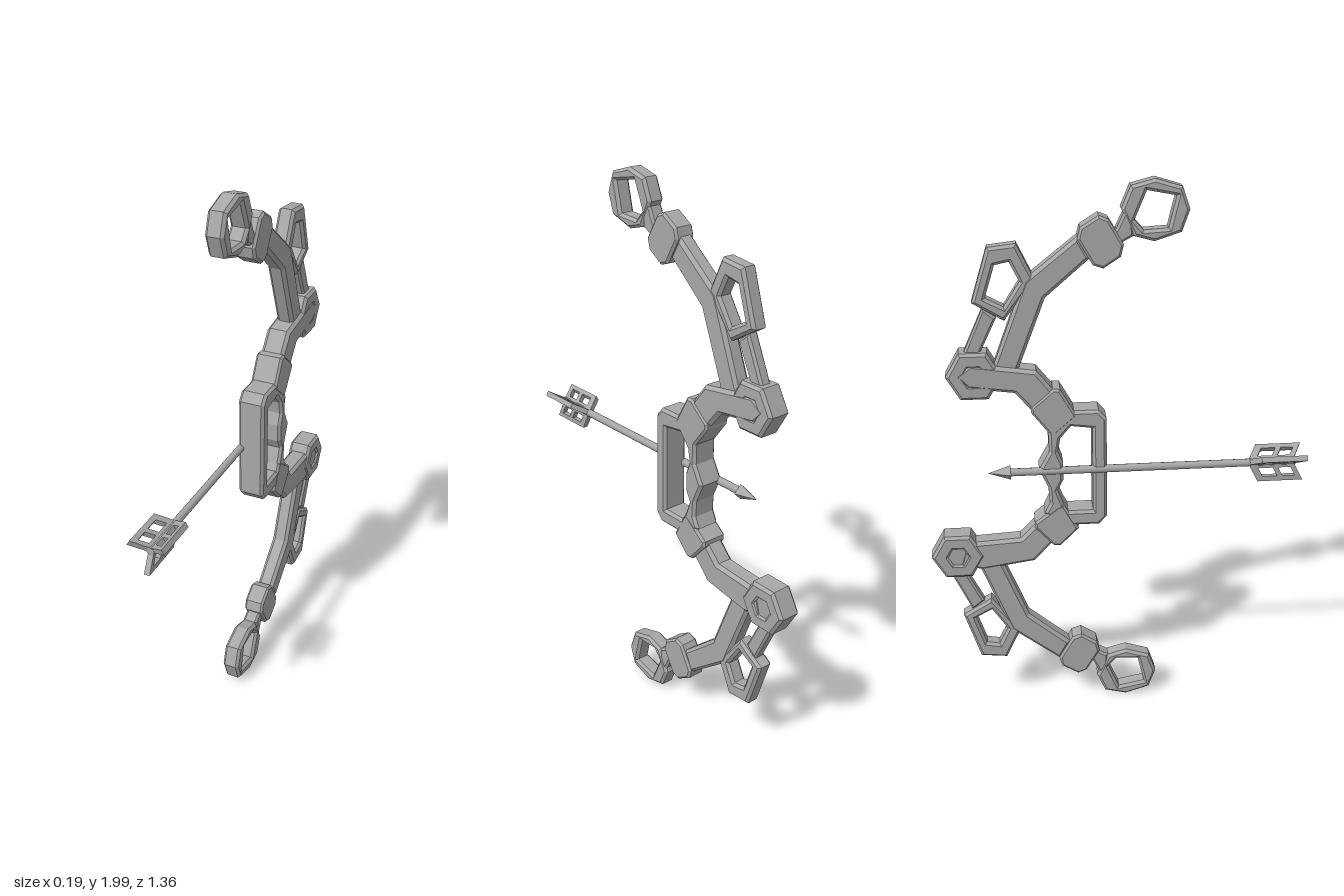
import * as THREE from 'three';

export function createModel() {
  const model = new THREE.Group();
  model.name = 'bowAndArrow';
  const grey = new THREE.MeshStandardMaterial({ color: 0xa8a8a8 });
  grey.name = 'grey metal';

  // Outlines run counter-clockwise and holes clockwise, so every wall faces outwards
  function toPath(pts, Type, clockwise) {
    const v = pts.map(([a, b]) => new THREE.Vector2(a, b));
    return new Type(THREE.ShapeUtils.isClockWise(v) === clockwise ? v : v.reverse());
  }

  // Chamfered plate in the (z, y) plane, centred on x = 0
  function plate(parent, name, pts, half, bevel = 0.012, holes = []) {
    const shape = toPath(pts, THREE.Shape, false);
    holes.forEach(h => shape.holes.push(toPath(h, THREE.Path, true)));
    const depth = 2 * (half - bevel);
    const geo = new THREE.ExtrudeGeometry(shape, {
      depth, bevelEnabled: bevel > 0, bevelThickness: bevel, bevelSize: bevel,
      bevelOffset: -bevel, bevelSegments: 1, curveSegments: 1,
    });
    geo.translate(0, 0, -depth / 2).rotateY(-Math.PI / 2);
    const mesh = new THREE.Mesh(geo, grey);
    mesh.name = name;
    parent.add(mesh);
    return mesh;
  }

  const hexagon = (z, y, r) => Array.from({ length: 6 }, (_, i) =>
    [z + r * Math.cos(i * Math.PI / 3), y + r * Math.sin(i * Math.PI / 3)]);

  const bow = new THREE.Group();
  bow.name = 'bow';
  model.add(bow);

  // Riser with knuckle guard
  plate(bow, 'grip',
    [[-0.035, 1.18], [-0.063, 1.212], [-0.17, 1.212], [-0.24, 1.15], [-0.238, 1.06], [-0.275, 0.993],
      [-0.243, 0.92], [-0.24, 0.86], [-0.26, 0.82], [-0.19, 0.768], [-0.063, 0.768], [-0.035, 0.8]],
    0.049, 0.01,
    [[[-0.085, 1.145], [-0.16, 1.155], [-0.198, 1.11], [-0.207, 1.06], [-0.19, 1.015],
      [-0.19, 0.95], [-0.211, 0.91], [-0.18, 0.825], [-0.085, 0.825]]]);

  // Collars and arms joining the grip to the hubs
  plate(bow, 'upperGripCollar',
    [[-0.195, 1.294], [-0.22, 1.296], [-0.298, 1.23], [-0.296, 1.21], [-0.235, 1.13],
      [-0.21, 1.13], [-0.138, 1.193]], 0.05, 0.008);
  plate(bow, 'lowerGripCollar',
    [[-0.19, 0.852], [-0.21, 0.85], [-0.296, 0.785], [-0.296, 0.765], [-0.23, 0.69],
      [-0.205, 0.688], [-0.138, 0.755]], 0.05, 0.008);
  plate(bow, 'upperArm',
    [[-0.2, 1.267], [-0.275, 1.362], [-0.497, 1.394], [-0.555, 1.352], [-0.508, 1.304],
      [-0.35, 1.283], [-0.275, 1.193], [-0.2, 1.18]], 0.044);
  plate(bow, 'lowerArm',
    [[-0.296, 0.77], [-0.349, 0.717], [-0.55, 0.706], [-0.577, 0.611], [-0.487, 0.595],
      [-0.3, 0.622], [-0.2, 0.733]], 0.038);

  // One limb, measured from its hub; s mirrors it up or down
  function limb(name, z, y, s) {
    const g = new THREE.Group();
    g.name = name;
    bow.add(g);
    const at = pts => pts.map(([a, b]) => [z + a, y + s * b]);
    plate(g, 'hub', hexagon(z, y, 0.096), 0.043, 0.01, [hexagon(z, y, 0.034)]);
    plate(g, 'hubCore', hexagon(z, y, 0.045), 0.036, 0);
    plate(g, 'limbBar', at([[0.36, 0.47], [0.18, 0.328], [0.058, 0.005], [0.148, 0.005],
      [0.249, 0.265], [0.402, 0.397]]), 0.032);
    plate(g, 'strut', at([[0.085, 0.2], [0.04, 0.235], [-0.03, 0.08], [0.012, 0.05]]), 0.022, 0.008);
    plate(g, 'sideLoop', at([[0.217, 0.328], [0.159, 0.45], [0.063, 0.439], [0.005, 0.254], [0.111, 0.19]]),
      0.03, 0.01,
      [at([[0.166, 0.323], [0.134, 0.39], [0.086, 0.38], [0.051, 0.27], [0.111, 0.238]])]);
    plate(g, 'tipCollar', at([[0.462, 0.525], [0.429, 0.538], [0.368, 0.5], [0.358, 0.462],
      [0.409, 0.374], [0.444, 0.362], [0.502, 0.4], [0.512, 0.44]]), 0.038, 0.008);
    plate(g, 'tipLink', at([[0.535, 0.58], [0.508, 0.535], [0.487, 0.49], [0.45, 0.47],
      [0.46, 0.42], [0.545, 0.466]]), 0.028, 0.008);
    plate(g, 'tipRing', at([[0.73, 0.55], [0.704, 0.624], [0.614, 0.651], [0.534, 0.63],
      [0.503, 0.556], [0.545, 0.466], [0.614, 0.447], [0.704, 0.476]]), 0.032, 0.01,
      [at([[0.685, 0.595], [0.587, 0.614], [0.547, 0.519], [0.577, 0.485], [0.66, 0.49]])]);
  }
  limb('upperLimb', -0.487, 1.347, 1);
  limb('lowerLimb', -0.577, 0.655, -1);

  // Arrow lying along the right face of the bow
  const arrow = new THREE.Group();
  arrow.name = 'arrow';
  arrow.position.set(-0.04, 0.987, 0);
  model.add(arrow);

  const shaft = new THREE.Mesh(new THREE.CylinderGeometry(0.014, 0.014, 1.03, 10).rotateX(Math.PI / 2), grey);
  shaft.name = 'arrowShaft';
  shaft.position.z = 0.13;
  arrow.add(shaft);

  const headGeo = new THREE.ConeGeometry(0.028, 0.08, 4).rotateX(-Math.PI / 2).toNonIndexed();
  headGeo.computeVertexNormals();
  const head = new THREE.Mesh(headGeo, grey);
  head.name = 'arrowHead';
  head.position.z = -0.415;
  arrow.add(head);

  // Three open, swept-back vanes
  for (let i = 0; i < 3; i++) {
    const vane = plate(arrow, 'vane',
      [[0.475, 0.005], [0.51, 0.072], [0.675, 0.072], [0.64, 0.005]], 0.01, 0,
      [[[0.51, 0.02], [0.528, 0.054], [0.581, 0.054], [0.563, 0.02]],
        [[0.583, 0.02], [0.601, 0.054], [0.646, 0.054], [0.628, 0.02]]]);
    vane.rotation.z = Math.PI / 3 + i * Math.PI * 2 / 3;
  }

  // Slight turn of the whole piece
  model.rotation.y = 0.089;
  model.position.x = 0.0096;
  const root = new THREE.Group();
  root.name = 'bowSet';
  root.add(model);
  return root;
}
